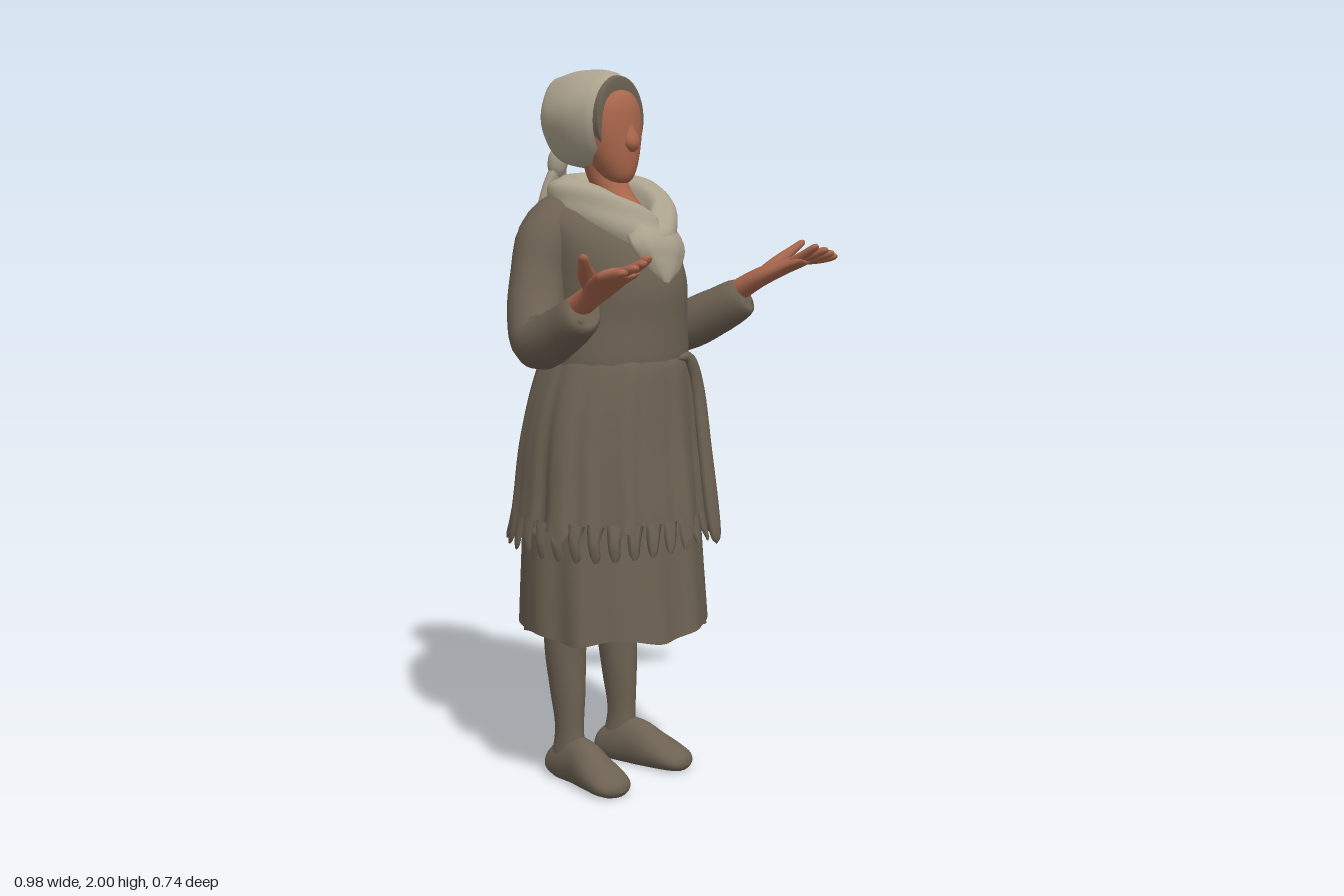
import * as THREE from 'three';

const paint = (name, color) => {
  const m = new THREE.MeshStandardMaterial({ color });
  m.name = name;
  m.side = THREE.DoubleSide;
  return m;
};

const Y = new THREE.Vector3(0, 1, 0), Z = new THREE.Vector3(0, 0, 1);

// Sweeps an ellipse through points [x, y, z, halfWidth, halfDepth].
// up sets the depth direction, axis fixes the ring normal, warp moves each vertex.
function sweep(pts, { up = Z, axis = null, seg = 20, steps = 5, closed = false, ripple = null, warp = null } = {}) {
  const curve = (f) => new THREE.CatmullRomCurve3(pts.map(f), closed, 'catmullrom', 0.5);
  const path = curve((p) => new THREE.Vector3(p[0], p[1], p[2]));
  const size = curve((p) => new THREE.Vector3(p[3], p[4], 0));
  const n = (closed ? pts.length : pts.length - 1) * steps;
  const pos = [], idx = [];
  for (let i = 0; i <= n; i++) {
    const t = i / n, c = path.getPoint(t), r = size.getPoint(t);
    const T = axis || path.getTangent(t);
    const side = new THREE.Vector3().crossVectors(up, T).normalize();
    const nor = new THREE.Vector3().crossVectors(T, side).normalize();
    for (let j = 0; j < seg; j++) {
      const a = (j / seg) * Math.PI * 2, k = ripple ? ripple(a, t) : 1;
      const v = c.clone()
        .addScaledVector(side, Math.max(0, r.x) * k * Math.cos(a))
        .addScaledVector(nor, Math.max(0, r.y) * k * Math.sin(a));
      if (warp) warp(v, a, t);
      pos.push(v.x, Math.max(0, v.y), v.z);
      if (i < n) {
        const p = i * seg + j, q = i * seg + (j + 1) % seg;
        idx.push(p, q, p + seg, q, q + seg, p + seg);
      }
    }
  }
  const g = new THREE.BufferGeometry();
  g.setAttribute('position', new THREE.Float32BufferAttribute(pos, 3));
  g.setIndex(idx);
  g.computeVertexNormals();
  return g;
}

export function createModel() {
  const model = new THREE.Group();
  const brown = paint('brown cloth', 0x6c6152);
  const pale = paint('pale scarf', 0xaca38e);
  const skin = paint('skin', 0xa9664c);
  const add = (name, mat, pts, opt) => {
    const m = new THREE.Mesh(sweep(pts, opt), mat);
    m.name = name;
    model.add(m);
  };
  const down = Y.clone().negate();
  // Skirts swing out towards the rear left
  const swing = (a) => Math.max(0, Math.cos(a + Math.PI / 4)) ** 6;

  // Bodice
  add('bodice', brown, [
    [0, 1.16, -0.07, 0.2, 0.195], [0, 1.22, -0.07, 0.208, 0.203], [0, 1.32, -0.07, 0.196, 0.204],
    [0, 1.43, -0.075, 0.194, 0.208], [0, 1.53, -0.105, 0.196, 0.19], [0, 1.6, -0.14, 0.185, 0.145],
    [0, 1.65, -0.16, 0.13, 0.105], [0, 1.68, -0.16, 0.075, 0.06], [0, 1.69, -0.16, 0, 0],
  ], { axis: Y, seg: 48 });

  // Gathered overskirt with a ragged hem
  add('overskirt', brown, [
    [0, 1.235, -0.07, 0.195, 0.19], [0, 1.2, -0.072, 0.212, 0.211], [0, 1.1, -0.08, 0.246, 0.229],
    [-0.003, 0.98, -0.085, 0.267, 0.245], [-0.007, 0.84, -0.082, 0.279, 0.261], [-0.011, 0.745, -0.08, 0.288, 0.268],
  ], {
    axis: down, seg: 120,
    ripple: (a, t) => 1 + t * (0.034 * Math.sin(9 * a + 0.5) + 0.024 * Math.sin(17 * a + 1) + 0.012 * Math.sin(29 * a))
      + 0.06 * Math.sqrt(t) * swing(a),
    warp: (v, a, t) => { if (t > 0.9) v.y += 0.02 * Math.sin(23 * a) * (t - 0.9) * 10; },
  });

  // Underskirt
  add('underskirt', brown, [
    [-0.008, 0.95, -0.08, 0.24, 0.21], [-0.01, 0.8, -0.074, 0.262, 0.238],
    [-0.014, 0.6, -0.066, 0.272, 0.25], [-0.016, 0.458, -0.06, 0.275, 0.258],
  ], {
    axis: down, seg: 96,
    ripple: (a, t) => 1 + (0.3 + t) * (0.02 * Math.sin(9 * a + 2) + 0.014 * Math.sin(14 * a)) + 0.13 * t * swing(a),
    warp: (v, a, t) => { v.y += 0.009 * t * Math.sin(6 * a); },
  });

  // Ragged strips hanging from the overskirt hem
  const count = 32;
  for (let i = 0; i < count; i++) {
    const a = (i / count) * Math.PI * 2, w = Math.sin(i * 12.9) * 0.5 + 0.5, out = 1 + 0.06 * swing(a);
    const at = (k, y, da, r1, r2) =>
      [-0.011 + Math.cos(a + da) * 0.288 * k * out, y, -0.08 + Math.sin(a + da) * 0.268 * k * out, r1, r2];
    add('fringe', brown, [
      at(0.985, 0.785, 0, 0.024, 0.006), at(1.01, 0.74, 0.02, 0.016 + 0.01 * w, 0.008),
      at(1.0 + 0.06 * w, 0.7 + 0.02 * w, 0.06 * w, 0.014, 0.006), at(1.0 + 0.08 * w, 0.682 + 0.03 * w, 0.09 * w, 0.004, 0.002),
    ], { seg: 6, steps: 2, up: new THREE.Vector3(Math.cos(a), 0, Math.sin(a)) });
  }

  // Sash tied at the waist
  add('sash', brown, [
    [0.03, 1.22, 0.133, 0.005, 0.006], [0.08, 1.212, 0.132, 0.018, 0.012], [0.118, 1.12, 0.132, 0.024, 0.014],
    [0.125, 0.95, 0.153, 0.026, 0.014], [0.13, 0.8, 0.172, 0.028, 0.014],
    [0.132, 0.715, 0.186, 0.02, 0.01], [0.132, 0.69, 0.19, 0, 0],
  ], { seg: 10 });

  for (const s of [1, -1]) {
    const limb = (name, mat, pts, opt) => add(name, mat, pts.map(([x, ...rest]) => [s * x, ...rest]), opt);

    // Sleeves, flowing from the yoke and bent at the elbow
    limb('sleeve', brown, [
      [0.02, 1.6, -0.17, 0.07, 0.075], [0.1, 1.585, -0.175, 0.085, 0.085], [0.168, 1.535, -0.175, 0.084, 0.083],
      [0.205, 1.45, -0.17, 0.08, 0.075], [0.245, 1.35, -0.145, 0.08, 0.078], [0.297, 1.275, -0.085, 0.073, 0.074],
      [0.327, 1.32, 0.03, 0.064, 0.07], [0.35, 1.37, 0.115, 0.05, 0.056], [0.349, 1.368, 0.112, 0, 0],
    ], { up: new THREE.Vector3(-0.2 * s, 0.75, 0.65), seg: 24 });

    // Open hands, palms up
    limb('palm', skin, [
      [0.348, 1.38, 0.09, 0.038, 0.032], [0.36, 1.424, 0.165, 0.041, 0.028], [0.39, 1.456, 0.23, 0.054, 0.022],
      [0.412, 1.48, 0.29, 0.056, 0.016], [0.414, 1.484, 0.3, 0, 0],
    ], { up: Y, seg: 16 });
    for (let i = 0; i < 4; i++) {
      const k = 0.372 + 0.027 * i, e = 0.374 + 0.032 * i, y = 1.516 - 0.01 * i;
      const z = 0.345 + (i === 1 || i === 2 ? 0.01 : 0);
      limb('finger', skin, [
        [k, 1.472, 0.265, 0.018, 0.012], [(k + e) / 2, (1.472 + y) / 2, 0.31, 0.019, 0.013],
        [e, y, z, 0.016, 0.01], [e + 0.001, y + 0.003, z + 0.01, 0, 0],
      ], { up: Y, seg: 8, steps: 3 });
    }
    limb('thumb', skin, [
      [0.37, 1.43, 0.165, 0.026, 0.02], [0.42, 1.468, 0.188, 0.026, 0.019],
      [0.455, 1.497, 0.21, 0.017, 0.014], [0.482, 1.52, 0.227, 0.012, 0.01], [0.49, 1.527, 0.231, 0, 0],
    ], { up: Y, seg: 8, steps: 3 });

    // Legs and turned-out shoes
    limb('leg', brown, [
      [0.115, 0.06, -0.15, 0.042, 0.056], [0.117, 0.15, -0.145, 0.036, 0.045], [0.116, 0.26, -0.152, 0.046, 0.054],
      [0.116, 0.4, -0.16, 0.06, 0.061], [0.116, 0.62, -0.15, 0.068, 0.068],
    ], { axis: Y });
    limb('shoe', brown, [
      [0.108, 0.03, -0.222, 0, 0], [0.108, 0.032, -0.215, 0.034, 0.032], [0.112, 0.045, -0.17, 0.045, 0.06],
      [0.12, 0.058, -0.1, 0.05, 0.073], [0.134, 0.042, -0.03, 0.06, 0.056],
      [0.147, 0.027, 0.035, 0.062, 0.036], [0.153, 0.018, 0.068, 0.04, 0.022], [0.155, 0.015, 0.08, 0, 0],
    ], { up: Y });
  }

  // Neck and face
  add('neck', skin, [
    [0, 1.55, 0.03, 0.035, 0.04], [0, 1.62, -0.025, 0.042, 0.05], [0, 1.69, -0.09, 0.05, 0.055], [0, 1.78, -0.12, 0.06, 0.06],
  ], { axis: Y });
  add('face', skin, [
    [0, 1.69, -0.06, 0, 0], [0, 1.697, -0.058, 0.032, 0.03], [0, 1.725, -0.066, 0.057, 0.053], [0, 1.78, -0.078, 0.084, 0.07],
    [0, 1.85, -0.082, 0.098, 0.073], [0, 1.91, -0.086, 0.088, 0.068], [0, 1.945, -0.094, 0.058, 0.05], [0, 1.957, -0.1, 0, 0],
  ], { axis: Y, seg: 28 });
  add('nose', skin, [
    [0, 1.875, -0.04, 0.02, 0.02], [0, 1.83, -0.022, 0.024, 0.02], [0, 1.797, -0.012, 0.026, 0.021], [0, 1.772, -0.024, 0, 0],
  ], { seg: 12 });

  // Cap edge framing the face, then the head wrap
  add('cap', brown, [
    [0, 1.868, -0.044, 0, 0], [0, 1.868, -0.046, 0.088, 0.1], [0, 1.868, -0.06, 0.1, 0.117], [0, 1.868, -0.12, 0.1, 0.117],
  ], { up: Y, axis: Z.clone().negate(), seg: 32 });
  add('headWrap', pale, [
    [0, 1.862, -0.06, 0.106, 0.122], [0, 1.862, -0.09, 0.114, 0.134], [0, 1.865, -0.16, 0.117, 0.134],
    [0, 1.868, -0.235, 0.1, 0.12], [0, 1.877, -0.278, 0.07, 0.092], [0, 1.88, -0.293, 0, 0],
  ], {
    up: Y, axis: Z.clone().negate(), seg: 36,
    ripple: (a, t) => 1 + 0.03 * Math.sin(t * Math.PI) * Math.sin(5 * a - 1 + 4 * t),
  });

  // Knot and tails at the nape
  add('wrapKnot', pale, [
    [-0.01, 1.79, -0.255, 0, 0], [-0.01, 1.775, -0.262, 0.032, 0.022], [-0.015, 1.735, -0.27, 0.03, 0.025], [-0.015, 1.7, -0.275, 0.01, 0.01],
  ], { seg: 12 });
  const tail = (dx, low, back) => add('wrapTail', pale, [
    [-0.01, 1.75, -0.265, 0.02, 0.02], [-0.02 + dx * 0.5, 1.66, -0.29, 0.036, 0.02],
    [-0.025 + dx, 1.52, back + 0.03, 0.03, 0.022], [-0.025 + dx, low + 0.06, back, 0.024, 0.014], [-0.02 + dx, low, back, 0, 0],
  ], { seg: 12, ripple: (a) => 1 + 0.15 * Math.sin(3 * a) });
  tail(-0.012, 1.34, -0.352);
  tail(0.035, 1.45, -0.315);

  // Draped neck scarf with a pointed front
  add('neckScarf', pale, [
    [-0.005, 1.53, 0.064, 0.052, 0.07], [0.075, 1.578, 0.025, 0.052, 0.075], [0.112, 1.635, -0.07, 0.054, 0.07],
    [0.098, 1.66, -0.17, 0.055, 0.06], [0, 1.66, -0.222, 0.05, 0.055], [-0.09, 1.652, -0.17, 0.052, 0.058],
    [-0.098, 1.622, -0.07, 0.048, 0.068], [-0.068, 1.572, 0.02, 0.048, 0.075],
  ], { up: Y, closed: true, seg: 28, steps: 8, ripple: (a, t) => 1 + 0.07 * Math.sin(5 * a + 12.566 * t) });
  add('scarfPoint', pale, [
    [0, 1.585, 0.04, 0.09, 0.04], [-0.003, 1.53, 0.082, 0.103, 0.042], [-0.008, 1.485, 0.1, 0.082, 0.034],
    [-0.016, 1.445, 0.116, 0.042, 0.02], [-0.022, 1.415, 0.126, 0, 0.004],
  ], { seg: 24, ripple: (a) => 1 + 0.05 * Math.sin(6 * a) });

  return model;
}
